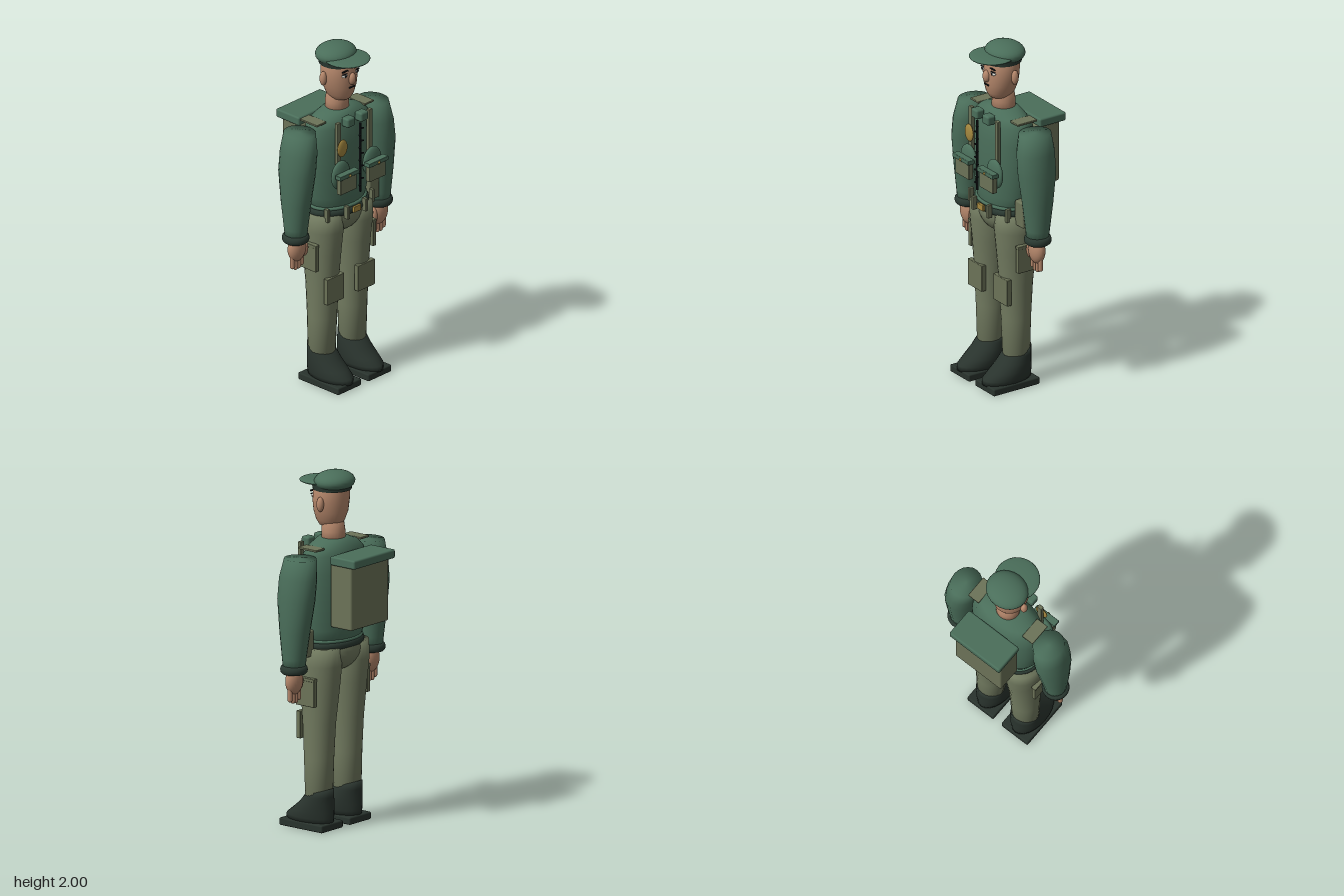
import * as THREE from 'three';
import { RoundedBoxGeometry } from 'three/addons/geometries/RoundedBoxGeometry.js';

const mat = (name, color) => Object.assign(new THREE.MeshStandardMaterial({ color }), { name });

// Smooth tube of elliptical rings, bottom to top: [y, cx, cz, rx, rz, backLift]
function loft(rings, n = 24) {
  const pos = [], idx = [];
  for (const [y, cx, cz, rx, rz, lift = 0] of rings)
    for (let j = 0; j < n; j++) {
      const a = (j / n) * Math.PI * 2;
      pos.push(cx + rx * Math.cos(a), y - lift * Math.sin(a), cz + rz * Math.sin(a));
    }
  for (let i = 0; i < rings.length - 1; i++)
    for (let j = 0; j < n; j++) {
      const p = i * n + j, q = i * n + (j + 1) % n;
      idx.push(p, p + n, q, q, p + n, q + n);
    }
  const top = (rings.length - 1) * n, c = pos.length / 3;
  for (const r of [rings[0], rings[rings.length - 1]]) pos.push(r[1], r[0], r[2]);
  for (let j = 0; j < n; j++) {
    const k = (j + 1) % n;
    idx.push(c, j, k, c + 1, top + k, top + j);
  }
  const g = new THREE.BufferGeometry();
  g.setAttribute('position', new THREE.Float32BufferAttribute(pos, 3));
  g.setIndex(idx);
  g.computeVertexNormals();
  return g;
}

export function createModel() {
  const model = new THREE.Group();
  const green = mat('jacket green', 0x4a6e5a);
  const trouser = mat('trouser olive', 0x727b60);
  const canvas = mat('canvas olive', 0x6c7358);
  const dark = mat('dark green trim', 0x2b3a32);
  const boot = mat('boot leather', 0x29332d);
  const skin = mat('skin', 0xb5876b);
  const gold = mat('brass', 0xa5883f);
  const black = mat('black', 0x14171a);
  const white = mat('eye white', 0xe4e4dc);

  const add = (name, geo, m, x = 0, y = 0, z = 0) => {
    const mesh = new THREE.Mesh(geo, m);
    mesh.name = name;
    mesh.position.set(x, y, z);
    model.add(mesh);
    return mesh;
  };
  const box = (name, m, x, y, z, w, h, d, r = 0.004) =>
    add(name, new RoundedBoxGeometry(w, h, d, 2, Math.min(r, w / 3, h / 3, d / 3)), m, x, y, z);
  const ball = (name, m, x, y, z, rx, ry, rz) =>
    add(name, new THREE.SphereGeometry(1, 24, 16).scale(rx, ry, rz), m, x, y, z);
  const ring = (name, m, x, y, z, rx, rz, tube, h) =>
    add(name, new THREE.TorusGeometry(1, tube, 10, 28).rotateX(Math.PI / 2)
      .scale(rx, h / tube, rz), m, x, y, z);

  // Torso
  add('jacket', loft([
    [1.05, 0, 0.035, 0.165, 0.12], [1.08, 0, 0.032, 0.185, 0.13], [1.13, 0, 0.03, 0.203, 0.136],
    [1.3, 0, 0.032, 0.223, 0.14], [1.45, 0, 0.035, 0.225, 0.138], [1.55, 0, 0.037, 0.215, 0.122],
    [1.59, 0, 0.04, 0.175, 0.1], [1.625, 0, 0.042, 0.085, 0.075],
  ], 32), green);
  ball('pelvis', trouser, 0, 1.0, 0.03, 0.165, 0.125, 0.135);
  add('waist', loft([[0.98, 0, 0.033, 0.18, 0.12], [1.06, 0, 0.035, 0.175, 0.12]]), trouser);

  // Belt
  ring('belt', dark, 0, 1.04, 0.038, 0.188, 0.132, 0.09, 0.02);
  ring('jacketHem', green, 0, 1.066, 0.036, 0.18, 0.128, 0.08, 0.01);
  box('buckle', gold, 0, 1.047, 0.187, 0.056, 0.036, 0.016);
  for (const [x, z] of [[-0.178, 0.13], [-0.073, 0.182], [0.07, 0.182], [0.178, 0.13]])
    box('beltLoop', canvas, x, 1.045, z, 0.02, 0.078, 0.03);
  box('hipPouch', canvas, 0.235, 1.065, 0.055, 0.08, 0.15, 0.09, 0.01);

  // Zip with alternating teeth
  box('zip', black, 0, 1.365, 0.212, 0.01, 0.42, 0.012);
  for (let i = 0; i < 10; i++)
    box('zipTooth', black, i % 2 ? 0.009 : -0.009, 1.2 + i * 0.038, 0.219, 0.016, 0.007, 0.012);

  // Neck, head and face
  add('neck', loft([[1.59, 0, 0.038, 0.068, 0.066], [1.66, 0, 0.036, 0.066, 0.065],
    [1.74, 0, 0.045, 0.06, 0.062]]), skin);
  add('head', loft([
    [1.675, 0, 0.06, 0.028, 0.035], [1.69, 0, 0.06, 0.055, 0.062], [1.72, 0, 0.057, 0.074, 0.083],
    [1.77, 0, 0.054, 0.094, 0.096], [1.83, 0, 0.053, 0.105, 0.1], [1.89, 0, 0.05, 0.104, 0.098],
    [1.94, 0, 0.045, 0.085, 0.085],
  ], 28), skin);
  ball('nose', skin, 0, 1.822, 0.15, 0.024, 0.036, 0.022);
  box('mouth', black, 0, 1.772, 0.15, 0.042, 0.009, 0.009);
  for (const s of [-1, 1]) {
    ball('ear', skin, s * 0.111, 1.825, 0.038, 0.02, 0.042, 0.021);
    ball('eye', white, s * 0.046, 1.85, 0.138, 0.02, 0.011, 0.011);
    ball('pupil', black, s * 0.046, 1.85, 0.146, 0.008, 0.008, 0.006);
    box('eyelid', black, s * 0.046, 1.861, 0.142, 0.04, 0.004, 0.009);
    box('eyebrow', black, s * 0.046, 1.878, 0.143, 0.046, 0.009, 0.009);
  }

  // Cap
  add('capBand', new THREE.CylinderGeometry(0.112, 0.107, 0.035, 28), dark, 0, 1.912, 0.045);
  ball('capCrown', green, 0, 1.942, 0.028, 0.122, 0.058, 0.108);
  ball('capPeak', green, 0, 1.934, 0.117, 0.127, 0.016, 0.124);

  // Backpack
  box('backpack', canvas, 0, 1.34, -0.15, 0.32, 0.36, 0.15, 0.01);
  box('backpackLid', green, 0, 1.54, -0.172, 0.352, 0.05, 0.175, 0.01);

  ball('badge', gold, -0.115, 1.45, 0.186, 0.039, 0.051, 0.012);

  for (const s of [-1, 1]) {
    // Chest gear
    box('collarTab', green, s * 0.053, 1.588, 0.172, 0.06, 0.055, 0.055, 0.012);
    box('strap', canvas, s * 0.125, 1.455, 0.163, 0.03, 0.29, 0.022);
    box('shoulderStrap', canvas, s * 0.19, 1.592, 0.035, 0.074, 0.012, 0.132);
    ball('chestPad', green, s * 0.125, 1.29, 0.182, 0.07, 0.085, 0.026);
    box('chestPouch', canvas, s * 0.115, 1.25, 0.22, 0.13, 0.1, 0.03);
    box('pouchFlap', green, s * 0.115, 1.305, 0.224, 0.152, 0.025, 0.042);
    ball('pouchButton', gold, s * 0.115, 1.303, 0.246, 0.008, 0.008, 0.006);

    // Arm
    add('sleeve', loft([
      [0.935, s * 0.33, 0.04, 0.06, 0.062], [1.0, s * 0.33, 0.04, 0.067, 0.068],
      [1.15, s * 0.327, 0.038, 0.08, 0.088], [1.33, s * 0.317, 0.036, 0.093, 0.112],
      [1.45, s * 0.303, 0.035, 0.091, 0.113], [1.558, s * 0.29, 0.03, 0.083, 0.094],
    ], 20), green);
    ring('cuff', dark, s * 0.332, 0.938, 0.04, 0.06, 0.06, 0.27, 0.024);

    // Hand
    ball('palm', skin, s * 0.327, 0.872, 0.043, 0.06, 0.078, 0.04);
    ball('thumb', skin, s * 0.276, 0.86, 0.05, 0.022, 0.05, 0.024);
    for (let i = 0; i < 4; i++)
      add('finger', new THREE.CapsuleGeometry(0.014, 0.065, 4, 10), skin,
        s * (0.29 + i * 0.024), 0.802 - (i % 3 ? 0.012 : 0), 0.043);

    // Leg
    add('trouserLeg', loft([
      [0.17, s * 0.122, 0.037, 0.077, 0.075], [0.4, s * 0.12, 0.038, 0.083, 0.083],
      [0.6, s * 0.119, 0.037, 0.088, 0.095], [0.8, s * 0.116, 0.034, 0.1, 0.115],
      [0.93, s * 0.117, 0.034, 0.112, 0.128], [1.03, s * 0.122, 0.034, 0.1, 0.125],
    ]), trouser);
    box('thighPocket', canvas, s * 0.228, 0.785, 0.04, 0.025, 0.15, 0.13);
    box('thighPocketFlap', canvas, s * 0.228, 0.862, 0.04, 0.03, 0.018, 0.134);
    box('kneePad', canvas, s * 0.122, 0.582, 0.13, 0.134, 0.155, 0.03);

    // Boot
    add('boot', loft([
      [0.035, s * 0.12, 0.102, 0.084, 0.152], [0.065, s * 0.12, 0.1, 0.09, 0.152],
      [0.1, s * 0.12, 0.078, 0.09, 0.13], [0.145, s * 0.12, 0.052, 0.087, 0.1],
      [0.185, s * 0.121, 0.036, 0.08, 0.083], [0.208, s * 0.122, 0.033, 0.076, 0.08, 0.025],
    ]), boot);
    box('sole', boot, s * 0.12, 0.021, 0.095, 0.184, 0.042, 0.306, 0.008);
  }
  return model;
}
